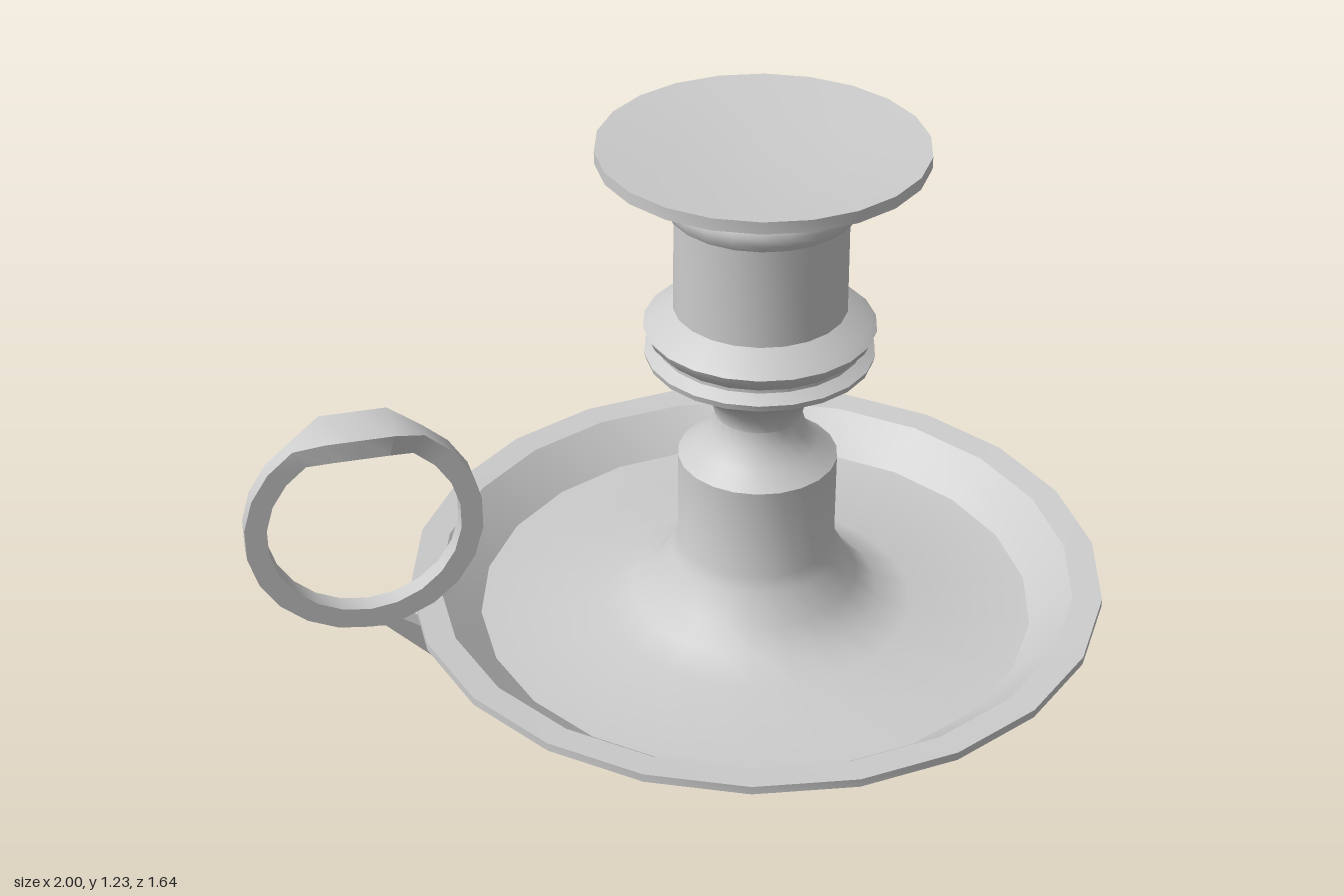
import * as THREE from 'three';
import { toCreasedNormals } from 'three/addons/utils/BufferGeometryUtils.js';

const SIDES = 22;
const AXIS_X = 0.19;
const material = new THREE.MeshStandardMaterial({ color: 0xcccccc, side: THREE.DoubleSide });

function turned(name, profile) {
  const points = profile.map(([r, y]) => new THREE.Vector2(r, y));
  const mesh = new THREE.Mesh(toCreasedNormals(new THREE.LatheGeometry(points, SIDES), 0.6), material);
  mesh.name = name;
  mesh.position.x = AXIS_X;
  return mesh;
}

// Finger ring: rectangular section swept round, wider and flattened at the thumb rest
function ringGeometry(outer, inner, halfWidth, thumbWidth) {
  const positions = [], index = [];
  const step = (Math.PI * 2) / SIDES;
  for (let i = 0; i < SIDES; i++) {
    const a = i * step;
    const thumb = i <= 1 || i === SIDES - 1;
    const flat = i === 0 ? Math.cos(step) : 1;
    const w = thumb ? thumbWidth : halfWidth;
    for (const [r, z] of [[outer, w], [outer, -w], [inner, -w], [inner, w]]) {
      positions.push(Math.sin(a) * r * flat, Math.cos(a) * r * flat, z);
    }
    const next = (i + 1) % SIDES;
    for (let k = 0; k < 4; k++) {
      const m = (k + 1) % 4;
      const p = i * 4 + k, q = i * 4 + m, s = next * 4 + m, t = next * 4 + k;
      index.push(p, t, q, q, t, s);
    }
  }
  const geometry = new THREE.BufferGeometry();
  geometry.setAttribute('position', new THREE.Float32BufferAttribute(positions, 3));
  geometry.setIndex(index);
  return toCreasedNormals(geometry, 0.5);
}

export function createModel() {
  const group = new THREE.Group();
  group.name = 'chamberstick';

  // Shallow dish with a flat rim, its floor sweeping up into the foot
  group.add(turned('dish', [
    [0, 0], [0.66, 0], [0.76, 0.095], [0.818, 0.1], [0.818, 0.12], [0.75, 0.115],
    [0.655, 0.03], [0.37, 0.035], [0.29, 0.065], [0.24, 0.11], [0.2, 0.18],
    [0.185, 0.21], [0.185, 0.44],
  ]));

  // Waisted neck and double collar
  group.add(turned('neck', [
    [0.185, 0.44], [0.14, 0.475], [0.112, 0.51], [0.1, 0.55], [0.11, 0.585],
    [0.14, 0.625], [0.185, 0.66], [0.235, 0.69], [0.258, 0.705], [0.262, 0.72],
    [0.235, 0.737], [0.235, 0.745], [0.255, 0.765], [0.264, 0.785], [0.25, 0.797], [0.197, 0.83],
  ]));

  // Candle socket with a rounded bead
  group.add(turned('socket', [
    [0.197, 0.83], [0.195, 1.068], [0.21, 1.072], [0.219, 1.088], [0.221, 1.105],
    [0.216, 1.122], [0.2, 1.138],
  ]));

  // Drip pan, slightly dished on top
  group.add(turned('dripPan', [
    [0.2, 1.138], [0.367, 1.197], [0.367, 1.225], [0.2, 1.208], [0, 1.2],
  ]));

  const handle = new THREE.Group();
  handle.name = 'handle';
  const ring = new THREE.Mesh(ringGeometry(0.27, 0.22, 0.023, 0.062), material);
  ring.name = 'fingerRing';
  ring.position.set(-0.73, 0.39, 0);
  handle.add(ring);

  // Tail that hooks below the rim onto the dish wall
  const tail = new THREE.Shape([
    [-0.76, 0.125], [-0.7, 0.118], [-0.595, 0.01], [-0.53, 0.02], [-0.55, 0.035],
    [-0.52, 0.04], [-0.57, 0.095], [-0.61, 0.095], [-0.66, 0.13], [-0.71, 0.135],
  ].map(([x, y]) => new THREE.Vector2(x, y)));
  const tailGeometry = new THREE.ExtrudeGeometry(tail, { depth: 0.046, bevelEnabled: false });
  tailGeometry.translate(0, 0, -0.023);
  const tailMesh = new THREE.Mesh(tailGeometry, material);
  tailMesh.name = 'handleTail';
  handle.add(tailMesh);
  group.add(handle);

  return group;
}
